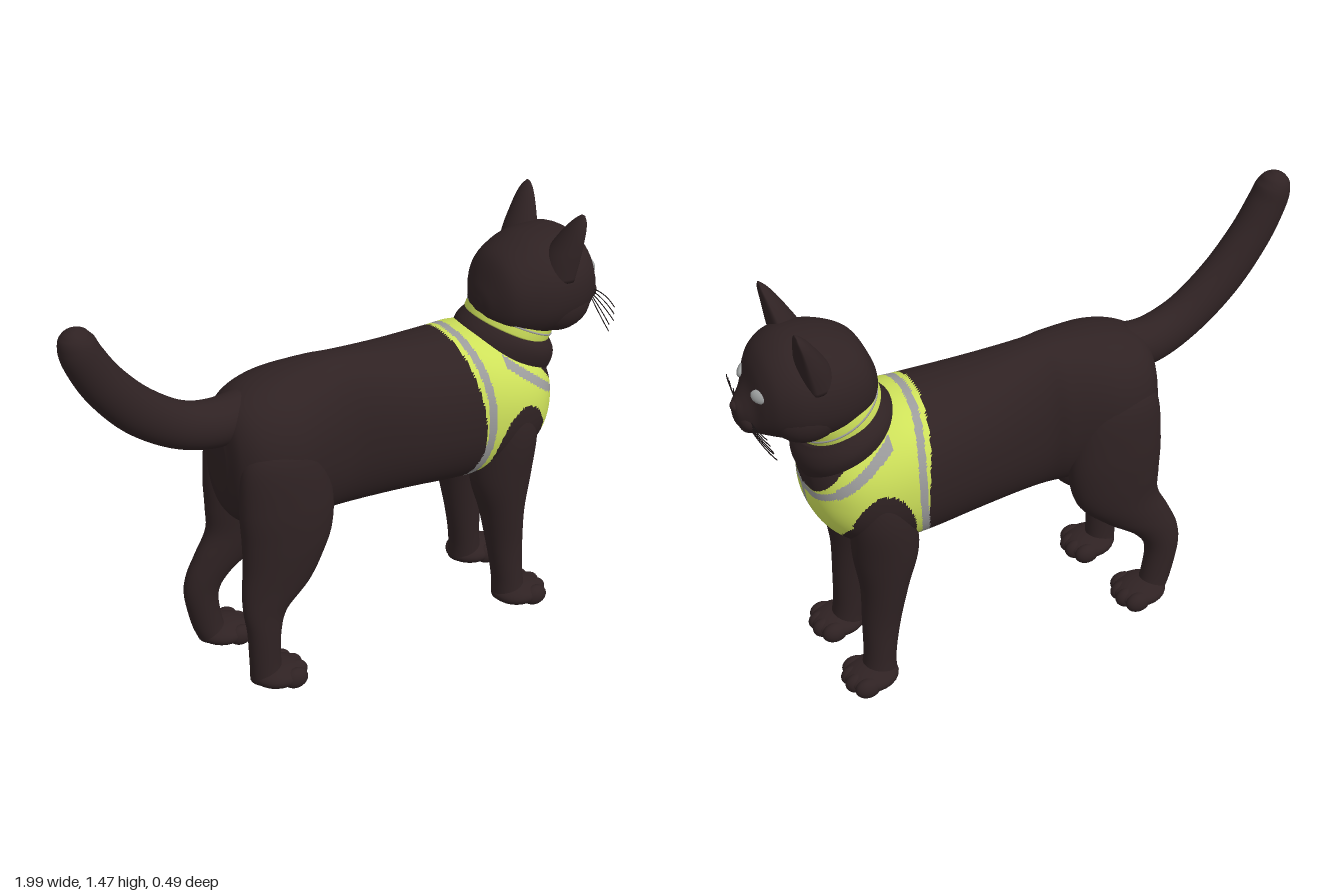
import * as THREE from 'three';

const mat = (name, color) => {
  const m = new THREE.MeshStandardMaterial({ color });
  m.name = name;
  return m;
};

// Smooth loft through sections [x, y, z, a, b]: a lies in the xy plane, b along z.
// dir fixes the direction of a; otherwise it is square to the path.
function loft(sections, { dir, segs = 36, sub = 6, power = 1, front = 1 } = {}) {
  const path = new THREE.CatmullRomCurve3(sections.map(s => new THREE.Vector3(s[0], s[1], s[2])), false, 'catmullrom');
  const size = new THREE.CatmullRomCurve3(sections.map(s => new THREE.Vector3(s[3], s[4], 0)), false, 'catmullrom');
  const rings = (sections.length - 1) * sub;
  const pos = [], idx = [];
  const bend = v => Math.sign(v) * Math.abs(v) ** power;
  for (let i = 0; i <= rings; i++) {
    const p = path.getPoint(i / rings), r = size.getPoint(i / rings), t = path.getTangent(i / rings);
    const len = Math.hypot(t.x, t.y);
    const d = dir || [-t.y / len, t.x / len];
    for (let j = 0; j < segs; j++) {
      const w = (j / segs) * Math.PI * 2;
      let a = bend(Math.cos(w)) * r.x;
      if (a > 0) a *= front;
      pos.push(p.x + d[0] * a, p.y + d[1] * a, p.z + bend(Math.sin(w)) * r.y);
    }
  }
  for (let i = 0; i < rings; i++) for (let j = 0; j < segs; j++) {
    const k = (j + 1) % segs, a = i * segs, b = a + segs;
    idx.push(a + j, a + k, b + j, a + k, b + k, b + j);
  }
  // end caps
  const n = pos.length / 3, last = rings * segs;
  pos.push(...path.getPoint(0).toArray(), ...path.getPoint(1).toArray());
  for (let j = 0; j < segs; j++) {
    const k = (j + 1) % segs;
    idx.push(n, k, j, n + 1, last + j, last + k);
  }
  // turn all faces outwards
  const A = new THREE.Vector3(), B = new THREE.Vector3(), C = new THREE.Vector3();
  let volume = 0;
  for (let f = 0; f < idx.length; f += 3) {
    A.fromArray(pos, idx[f] * 3); B.fromArray(pos, idx[f + 1] * 3); C.fromArray(pos, idx[f + 2] * 3);
    volume += A.dot(B.cross(C));
  }
  if (volume < 0) for (let f = 0; f < idx.length; f += 3) [idx[f], idx[f + 1]] = [idx[f + 1], idx[f]];
  const g = new THREE.BufferGeometry();
  g.setAttribute('position', new THREE.Float32BufferAttribute(pos, 3));
  g.setIndex(idx);
  g.computeVertexNormals();
  return g;
}

// Vest layout on the torso: 0 fur, 1 yellow cloth, 2 grey tape
function vestRegion(x, y, z) {
  z = Math.abs(z);
  const strap = 0.462 - 0.035 * ((y - 0.83) / 0.25) ** 2;
  const hem = 0.014 + Math.min(Math.max((y - 0.7) * 0.08, 0), 0.02);
  const neckline = Math.min(1.025 - 0.64 * (x - 0.57), 0.95 - 1.3 * (x - 0.68));
  if (x < strap - hem || (x > 0.5 && y > neckline)) return 0;
  if (Math.abs(x - strap) < 0.014) return 2;
  const bib = z < Math.min(0.02 + 0.95 * (y - 0.54), 0.19);
  const armhole = ((x - 0.595) / 0.12) ** 2 + ((y - 0.58) / 0.26) ** 2 < 1 || y < 0.6;
  if (armhole && !bib && x > strap) return 0;
  if (x > 0.6 && z < 0.013) return 2;
  if (x > 0.54 && Math.abs(y - (0.975 - 0.81 * (x - 0.57))) < (x > 0.73 ? 0.012 : 0.018)) return 2;
  return 1;
}

export function createModel() {
  const fur = mat('dark brown fur', 0x2f2223);
  const yellow = mat('yellow cloth', 0xcee15a);
  const grey = mat('grey tape', 0x9c9c9c);
  const eyeGrey = mat('pale grey eye', 0xa2a5a5);
  const dark = mat('whisker black', 0x1a1415);
  const cat = new THREE.Group();
  cat.name = 'cat';
  const add = (name, geometry, material, parent = cat) => {
    const m = new THREE.Mesh(geometry, material);
    m.name = name;
    parent.add(m);
    return m;
  };
  const ball = (name, material, p, s, parent = cat) => {
    const m = add(name, new THREE.SphereGeometry(1, 24, 16), material, parent);
    m.position.set(...p);
    m.scale.set(...s);
    return m;
  };
  // [x, top, bottom, half width] to a loft section
  const slab = ([x, top, bottom, w]) => [x, (top + bottom) / 2, 0, (top - bottom) / 2, w];

  // Torso with the vest as material groups
  const torso = loft([
    [-0.45, 0.93, 0.72, 0.06], [-0.425, 1.02, 0.63, 0.13], [-0.36, 1.07, 0.58, 0.18], [-0.25, 1.1, 0.55, 0.198],
    [-0.1, 1.11, 0.55, 0.168], [0, 1.105, 0.545, 0.15], [0.2, 1.085, 0.545, 0.19], [0.4, 1.075, 0.535, 0.222],
    [0.5, 1.07, 0.54, 0.235], [0.6, 1.04, 0.55, 0.23], [0.68, 1.0, 0.59, 0.205], [0.74, 0.95, 0.65, 0.155],
    [0.775, 0.89, 0.72, 0.09], [0.785, 0.83, 0.78, 0.02],
  ].map(slab), { dir: [0, 1], segs: 160, sub: 15, power: 0.9 });
  const buckets = [[], [], []];
  const P = torso.attributes.position, I = torso.index.array;
  for (let f = 0; f < I.length; f += 3) {
    const tri = [I[f], I[f + 1], I[f + 2]];
    const mid = k => tri.reduce((s, v) => s + P.getComponent(v, k), 0) / 3;
    buckets[vestRegion(mid(0), mid(1), mid(2))].push(...tri);
  }
  torso.setIndex(buckets.flat());
  let start = 0;
  buckets.forEach((b, i) => { torso.addGroup(start, b.length, i); start += b.length; });
  add('torsoAndVest', torso, [fur, yellow, grey]);

  // Tail
  add('tail', loft([
    [-0.34, 0.99, 0, 0.08, 0.08], [-0.46, 0.98, 0.01, 0.083, 0.075], [-0.6, 1.025, 0.028, 0.079, 0.068],
    [-0.74, 1.125, 0.045, 0.078, 0.065], [-0.85, 1.25, 0.058, 0.073, 0.063], [-0.915, 1.36, 0.065, 0.067, 0.061],
    [-0.936, 1.42, 0.065, 0.06, 0.056], [-0.942, 1.455, 0.065, 0.042, 0.04], [-0.944, 1.473, 0.065, 0.012, 0.012],
  ]), fur);

  // Legs and paws
  const paw = (x, z, side, parent) => {
    ball('paw', fur, [x, 0.043, z], [0.094, 0.042, 0.086], parent);
    for (let i = 0; i < 4; i++) {
      const o = i - 1.5;
      ball('toe', fur, [x + 0.058 - 0.01 * o * o, 0.038, z + o * 0.04 * side], [0.045, 0.037, 0.03], parent);
    }
  };
  for (const s of [1, -1]) {
    const frontLeg = new THREE.Group(), backLeg = new THREE.Group();
    frontLeg.name = s > 0 ? 'frontLegLeft' : 'frontLegRight';
    backLeg.name = s > 0 ? 'backLegLeft' : 'backLegRight';
    cat.add(frontLeg, backLeg);
    add('foreleg', loft([
      [0.585, 0.84, 0.15, 0.03, 0.04], [0.582, 0.8, 0.15, 0.075, 0.076], [0.577, 0.7, 0.148, 0.104, 0.092],
      [0.565, 0.55, 0.133, 0.112, 0.095], [0.575, 0.4, 0.135, 0.082, 0.076], [0.592, 0.25, 0.135, 0.066, 0.06],
      [0.605, 0.12, 0.14, 0.056, 0.056], [0.615, 0.03, 0.145, 0.062, 0.06],
    ].map(([x, y, z, a, b]) => [x, y, z * s, a, b]), { dir: [1, 0] }), fur, frontLeg);
    paw(0.645, 0.152 * s, s, frontLeg);
    // the right hind foot stands further back than the left
    const shins = s > 0
      ? [[-0.318, 0.38, 0.138, 0.123, 0.063], [-0.36, 0.3, 0.144, 0.08, 0.051], [-0.37, 0.22, 0.15, 0.06, 0.047],
        [-0.37, 0.1, 0.152, 0.055, 0.047], [-0.365, 0.03, 0.152, 0.058, 0.052]]
      : [[-0.355, 0.38, 0.14, 0.12, 0.062], [-0.425, 0.3, 0.146, 0.083, 0.052], [-0.453, 0.22, 0.15, 0.062, 0.048],
        [-0.435, 0.1, 0.152, 0.056, 0.047], [-0.41, 0.03, 0.152, 0.056, 0.052]];
    add('hindLeg', loft([
      [-0.28, 0.97, 0.11, 0.06, 0.03], [-0.28, 0.87, 0.122, 0.14, 0.078], [-0.27, 0.7, 0.13, 0.167, 0.088],
      [-0.27, 0.57, 0.133, 0.163, 0.084], [-0.288, 0.47, 0.135, 0.145, 0.075], ...shins,
    ].map(([x, y, z, a, b]) => [x, y, z * s, a, b]), { dir: [1, 0] }), fur, backLeg);
    paw(s > 0 ? -0.325 : -0.37, 0.155 * s, s, backLeg);
  }

  // Neck, fur ruff and collar share one tilt
  const tilt = [0.89, -0.45];
  add('neck', loft([[0.58, 0.88, 0, 0.14, 0.13], [0.65, 1.04, 0.008, 0.138, 0.143], [0.7, 1.14, 0.012, 0.13, 0.14]], { dir: tilt }), fur);
  add('ruff', loft([
    [0.59, 0.86, 0, 0.13, 0.1], [0.61, 0.905, 0, 0.175, 0.135], [0.628, 0.95, 0, 0.186, 0.162],
    [0.645, 0.99, 0, 0.183, 0.175], [0.657, 1.022, 0.003, 0.168, 0.17], [0.662, 1.05, 0.005, 0.145, 0.15],
  ], { dir: tilt, segs: 48 }), fur);
  const ring = (half, grow) => loft([-1, -0.9, 0.9, 1].map((k, i) => {
    const r = i % 3 ? grow : grow - 0.006;
    return [0.66 + 0.45 * half * k, 1.073 + 0.89 * half * k, 0.008, 0.146 + r, 0.15 + r];
  }), { dir: tilt, segs: 64, sub: 2 });
  add('collar', ring(0.031, 0.005), yellow);
  add('collarTape', ring(0.003, 0.008), grey);

  // Head
  const head = new THREE.Group();
  head.name = 'head';
  head.position.z = 0.016;
  cat.add(head);
  add('skull', loft([
    [0.52, 1.17, 1.13, 0.02], [0.535, 1.222, 1.09, 0.075], [0.58, 1.308, 1.05, 0.14], [0.66, 1.355, 1.02, 0.18],
    [0.74, 1.373, 1.015, 0.193], [0.82, 1.372, 1.025, 0.186], [0.88, 1.342, 1.045, 0.156], [0.915, 1.295, 1.055, 0.118],
    [0.938, 1.23, 1.062, 0.083], [0.962, 1.193, 1.072, 0.058], [0.981, 1.172, 1.095, 0.034], [0.987, 1.15, 1.12, 0.01],
  ].map(slab), { dir: [0, 1], segs: 48, power: 0.92 }), fur, head);
  ball('nose', fur, [0.974, 1.157, 0], [0.02, 0.018, 0.024], head);
  ball('chin', fur, [0.935, 1.077, 0], [0.035, 0.025, 0.04], head);
  for (const s of [1, -1]) {
    ball('muzzlePad', fur, [0.937, 1.115, 0.032 * s], [0.042, 0.038, 0.042], head);
    ball('cheek', fur, [0.78, 1.14, 0.095 * s], [0.12, 0.1, 0.092], head);
    // flat almond eyes lying on the slope of the face
    const eye = ball('eye', eyeGrey, [0.922, 1.228, 0.081 * s], [0.013, 0.022, 0.033], head);
    eye.rotation.set(0, -0.6 * s, 0.35, 'YXZ');
    add('ear', loft([
      [0.77, 1.25, 0.118, 0.085, 0.07], [0.785, 1.32, 0.124, 0.075, 0.069], [0.796, 1.37, 0.134, 0.058, 0.06],
      [0.808, 1.42, 0.147, 0.038, 0.044], [0.816, 1.45, 0.155, 0.023, 0.028], [0.82, 1.47, 0.159, 0.006, 0.01],
    ].map(([x, y, z, a, b]) => [x, y, z * s, a, b]), { dir: [1, 0], front: 0.35 }), fur, head);
    // Whiskers
    for (let i = 0; i < 5; i++) {
      const reach = s > 0 ? 0.21 : 0.165, drop = 1.125 - 0.02 * i;
      const curve = new THREE.QuadraticBezierCurve3(
        new THREE.Vector3(0.95, 1.125 - 0.008 * i, 0.055 * s),
        new THREE.Vector3(0.955 - 0.005 * i, drop + 0.015, 0.13 * s),
        new THREE.Vector3(0.935 - 0.006 * i, drop, (reach + 0.008 * (i % 3)) * s));
      add('whisker', new THREE.TubeGeometry(curve, 8, 0.0018, 5), dark, head);
    }
  }
  return cat;
}
